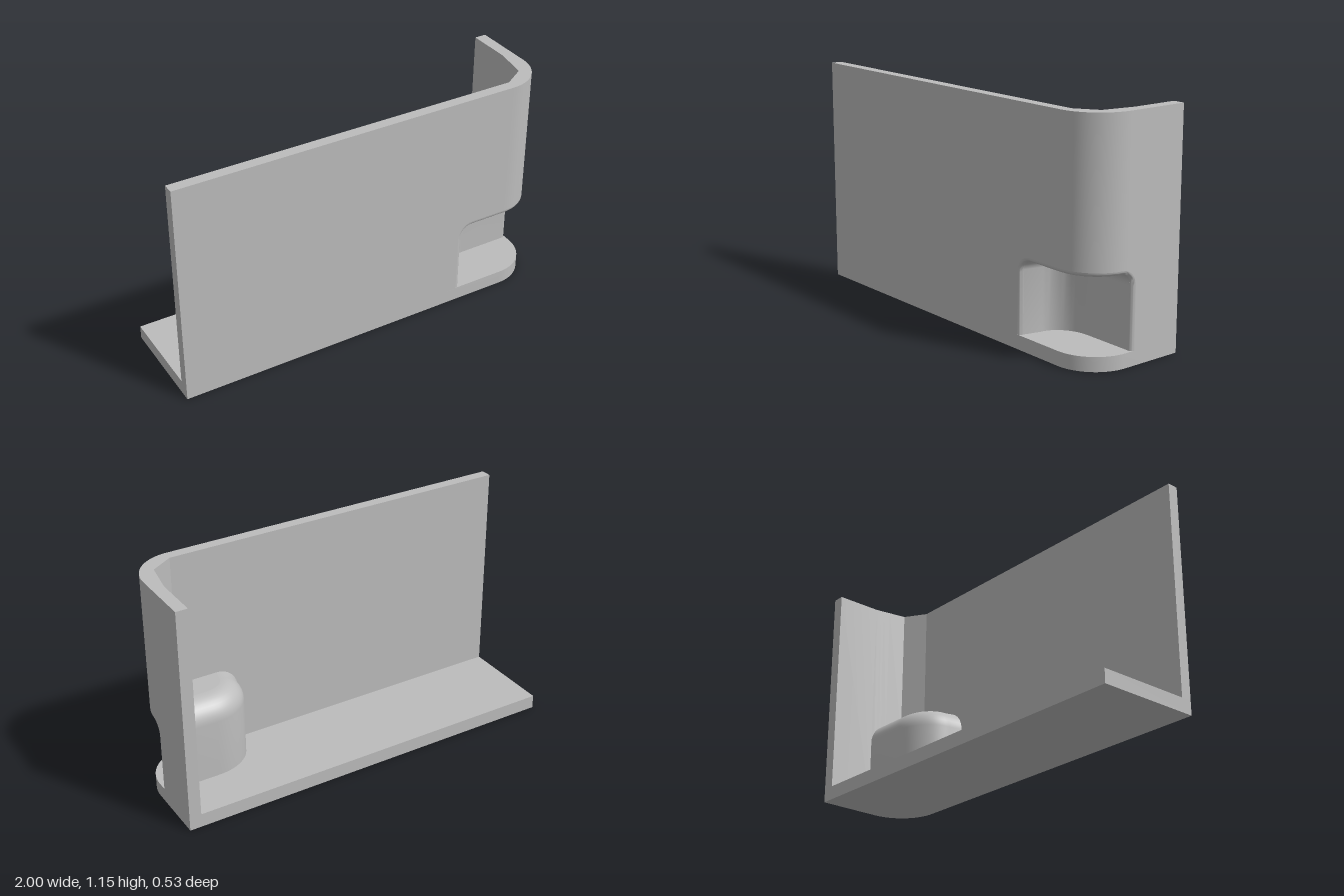
import * as THREE from 'three';
import { toCreasedNormals } from 'three/addons/utils/BufferGeometryUtils.js';

const H = 1.15, FLOOR = 0.07, ZF = 0.265, R = 0.21, LIP = 0.02, ROUND = 0.06;
const S0 = 2 - R, S1 = S0 + R * Math.PI / 2, S2 = S1 + 2 * ZF - R; // lengths along the outer wall

// Point on the wall plan: s runs along the outer face, depth goes inward
function wallPoint(s, depth = 0) {
  if (s <= S0) return [s - 1, ZF - depth];
  if (s >= S1) return [1 - depth, ZF - R - (s - S1)];
  const a = (s - S0) / R;
  return [1 - R + (R - depth) * Math.sin(a), ZF - R + (R - depth) * Math.cos(a)];
}

// Surface through rows of [x, y, z] points
function skin(rows, crease) {
  const n = rows[0].length, index = [];
  for (let i = 0; i < rows.length - 1; i++) {
    for (let j = 0; j < n - 1; j++) {
      const a = i * n + j, b = a + n;
      index.push(a, a + 1, b + 1, a, b + 1, b);
    }
  }
  const g = new THREE.BufferGeometry();
  g.setAttribute('position', new THREE.Float32BufferAttribute(rows.flat(2), 3));
  g.setIndex(index);
  return toCreasedNormals(g, crease);
}

const planShape = (pts) => new THREE.Shape(pts.map(([x, z]) => new THREE.Vector2(x, z)));
const flatAt = (pts, y) => new THREE.ShapeGeometry(planShape(pts)).rotateX(Math.PI / 2).translate(0, y, 0);
const steps = (n, f) => Array.from({ length: n + 1 }, (_, i) => f(i / n));

// Niche plan at inset d, from the front wall round to the side wall
function nichePlan(d, zStart, xEnd) {
  const slant = (zStart - 0.16) * 0.25;
  return [
    [0.55 + d - slant, zStart],
    ...steps(14, (t) => {
      const a = t * Math.PI / 2;
      return [0.72 - (0.17 - d) * Math.cos(a), 0.16 - (0.14 - d) * Math.sin(a)];
    }),
    [xEnd, 0.02 + d],
  ];
}

// Niche side walls with a rounded upper edge; grow is the offset of the outer skin
function nicheRows(grow, top, zStart, xEnd) {
  const r = ROUND + grow;
  const row = (d, y) => nichePlan(d, zStart, xEnd).map(([x, z]) => [x, y, z]);
  return [row(-grow, FLOOR), ...steps(10, (t) => {
    const a = t * Math.PI / 2;
    return row(-grow + r * (1 - Math.cos(a)), top - r + r * Math.sin(a));
  })];
}

export function createModel() {
  const group = new THREE.Group();
  const grey = new THREE.MeshStandardMaterial({ color: 0xbcbcbc, side: THREE.DoubleSide });
  grey.name = 'plain grey';
  const add = (name, geometry) => {
    const mesh = new THREE.Mesh(geometry, grey);
    mesh.name = name;
    group.add(mesh);
  };

  // Floor slab with one rounded corner
  const arc = steps(20, (t) => S0 + t * (S1 - S0));
  const outer = [0, ...arc, S2].map((s) => wallPoint(s));
  const slab = new THREE.ExtrudeGeometry(planShape([...outer, [-1, -ZF]]), { depth: FLOOR, bevelEnabled: false });
  add('floorSlab', toCreasedNormals(slab.rotateX(Math.PI / 2).translate(0, FLOOR, 0), 0.5));

  // Opening outline in wall coordinates, with outward directions
  const SL = 1.53, SR = S1 + ZF - R - 0.02, TOP = 0.43;
  const corner = (s, a) => ({
    s: s + ROUND * Math.cos(a), y: TOP - ROUND + ROUND * Math.sin(a), ns: Math.cos(a), ny: Math.sin(a),
  });
  const opening = [
    { s: SL, y: FLOOR, ns: -1, ny: 0 },
    ...steps(8, (t) => corner(SL + ROUND, Math.PI * (1 - t / 2))),
    ...steps(26, (t) => ({ s: SL + ROUND + t * (SR - SL - 2 * ROUND), y: TOP, ns: 0, ny: 1 })).slice(1, -1),
    ...steps(8, (t) => corner(SR - ROUND, Math.PI * (1 - t) / 2)),
    { s: SR, y: FLOOR, ns: 1, ny: 0 },
  ];

  // Outer wall face, standing on the slab and arching over the opening
  const columns = [
    [0, FLOOR], [SL - LIP, FLOOR],
    ...opening.slice(1, -1).map((o) => [o.s + o.ns * LIP, o.y + o.ny * LIP]),
    [SR + LIP, FLOOR], [S2, FLOOR],
  ];
  const at = (s, y, depth) => {
    const [x, z] = wallPoint(s, depth);
    return [x, y, z];
  };
  add('outerWall', skin([columns.map(([s, y]) => at(s, y, 0)), columns.map(([s]) => at(s, H, 0))], 0.5));

  // Rounded lip around the opening
  add('openingLip', skin(steps(6, (t) => {
    const a = t * Math.PI / 2, off = LIP * (1 - Math.sin(a)), depth = LIP * (1 - Math.cos(a));
    return opening.map((o) => at(o.s + o.ns * off, o.y + o.ny * off, depth));
  }), 0.8));

  // Inner wall face, cut away behind the niche: x, z, lower edge
  const inner = [
    [-1, 0.21, FLOOR], [0.505, 0.21, FLOOR], [0.505, 0.21, 0.38], [0.53, 0.21, 0.43], [0.59, 0.21, 0.455],
    [0.8, 0.21, 0.455], [0.91, 0.14, 0.455], [0.926, 0.05, 0.455], [0.932, 0.015, 0.43],
    [0.936, -0.005, 0.38], [0.936, -0.005, FLOOR], [0.94, -0.03, FLOOR], [0.94, -ZF, FLOOR],
  ];
  add('innerWall', skin([inner.map(([x, z, y]) => [x, y, z]), inner.map(([x, z]) => [x, H, z])], 0.4));

  // Wall rim and the two end edges
  const innerPlan = [[-1, 0.21], [0.8, 0.21], [0.91, 0.14], [0.94, -0.03], [0.94, -ZF]];
  add('wallRim', flatAt([...outer, ...innerPlan.slice().reverse()], H));
  add('frontWallEnd', skin([[[-1, FLOOR, 0.21], [-1, FLOOR, ZF]], [[-1, H, 0.21], [-1, H, ZF]]], 0));
  add('sideWallEnd', skin([[[0.94, FLOOR, -ZF], [1, FLOOR, -ZF]], [[0.94, H, -ZF], [1, H, -ZF]]], 0));

  // Niche lining and ceiling
  add('nicheLining', skin(nicheRows(0, TOP, ZF - LIP, 1 - LIP), 0.5));
  const front = opening.filter((o) => o.y > TOP - 1e-6).map((o) => wallPoint(o.s, LIP));
  add('nicheCeiling', flatAt([...nichePlan(ROUND, ZF - LIP, 1 - LIP), ...front.slice(1, -1).reverse()], TOP));

  // Rounded housing of the niche on the inside
  add('nicheHousing', skin(nicheRows(0.05, 0.48, 0.21, 0.94), 0.5));
  add('nicheHousingTop', flatAt([...nichePlan(ROUND, 0.21, 0.925), [0.91, 0.14], [0.8, 0.21]], 0.48));
  return group;
}
